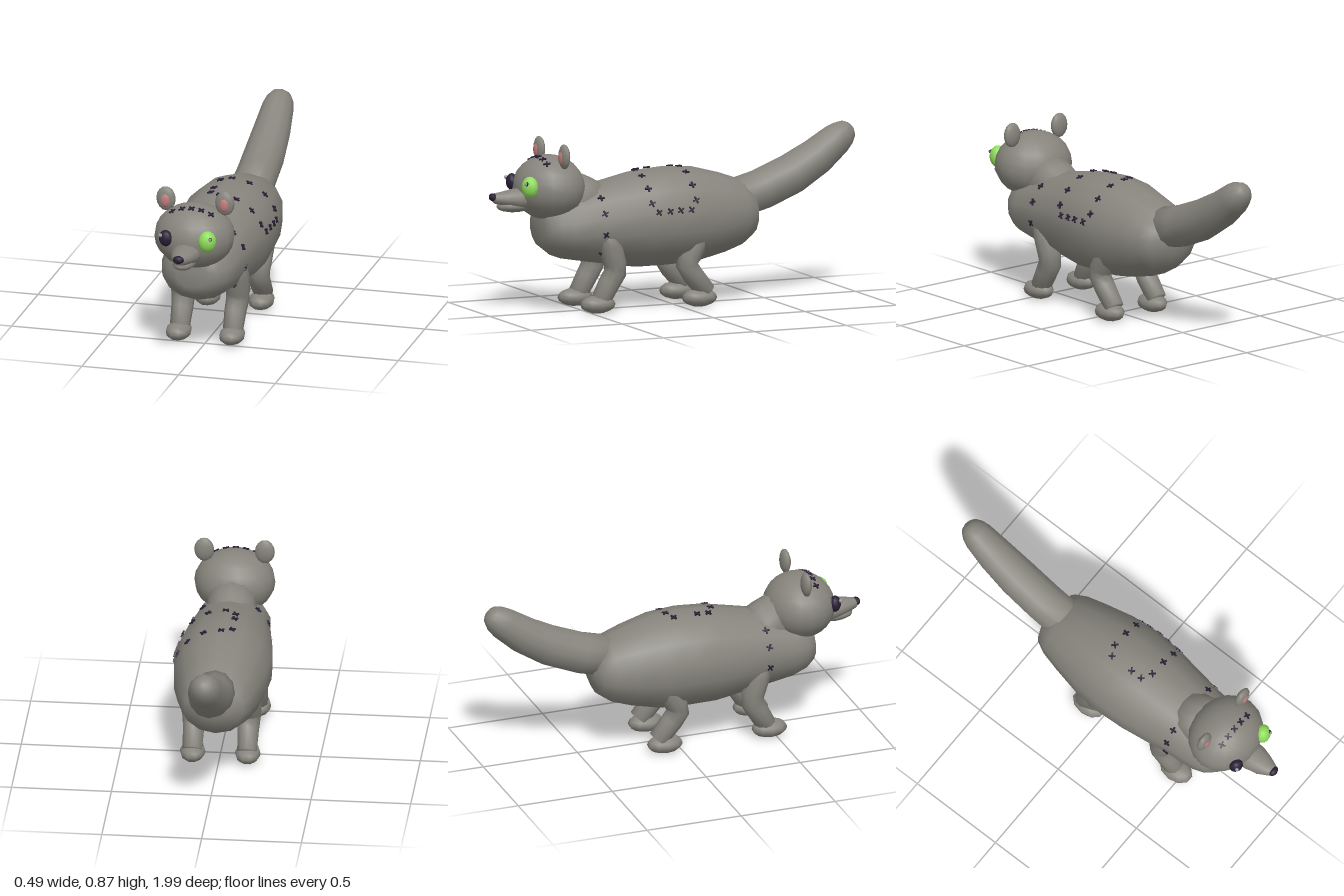
import * as THREE from 'three';

const mat = (name, color) => Object.assign(new THREE.MeshStandardMaterial({ color }), { name });

// Closed tube through sections [x, y, z, rx, ry]; rings face the path in the yz plane, or -z if straight.
function loft(sections, sides, straight = false) {
  const pos = [], idx = [], n = sections.length;
  sections.forEach(([x, y, z, rx, ry = rx], i) => {
    const p = sections[Math.max(i - 1, 0)], q = sections[Math.min(i + 1, n - 1)];
    let dy = q[1] - p[1], dz = q[2] - p[2];
    if (straight) { dy = 0; dz = -1; }
    const l = Math.hypot(dy, dz);
    for (let k = 0; k < sides; k++) {
      const a = k / sides * Math.PI * 2, s = Math.cos(a) * ry;
      pos.push(x + Math.sin(a) * rx, y - dz / l * s, z + dy / l * s);
    }
  });
  for (let i = 0; i < n - 1; i++) for (let k = 0; k < sides; k++) {
    const a = i * sides + k, b = i * sides + (k + 1) % sides;
    idx.push(a, b, a + sides, b, b + sides, a + sides);
  }
  // end caps
  const first = sections[0], last = sections[n - 1], c = n * sides;
  pos.push(...first.slice(0, 3), ...last.slice(0, 3));
  for (let k = 0; k < sides; k++) {
    const j = (k + 1) % sides, o = (n - 1) * sides;
    idx.push(c, j, k, c + 1, o + k, o + j);
  }
  const g = new THREE.BufferGeometry();
  g.setAttribute('position', new THREE.Float32BufferAttribute(pos, 3));
  g.setIndex(idx);
  g.computeVertexNormals();
  return g;
}

// Body stations: z, bottom, top, half width
const BODY = [
  [0.735, 0.37, 0.50, 0.08], [0.72, 0.33, 0.54, 0.13], [0.67, 0.29, 0.57, 0.17], [0.61, 0.268, 0.59, 0.19],
  [0.45, 0.24, 0.635, 0.205], [0.2, 0.2, 0.69, 0.24], [0.05, 0.2, 0.7, 0.25], [-0.1, 0.205, 0.69, 0.237],
  [-0.25, 0.24, 0.65, 0.205], [-0.35, 0.275, 0.615, 0.18], [-0.41, 0.32, 0.57, 0.15], [-0.44, 0.39, 0.5, 0.08],
];

function bodyAt(z) {
  let i = 0;
  while (i < BODY.length - 2 && BODY[i + 1][0] > z) i++;
  const t = (BODY[i][0] - z) / (BODY[i][0] - BODY[i + 1][0]);
  const [, lo, hi, w] = BODY[i].map((v, k) => THREE.MathUtils.lerp(v, BODY[i + 1][k], t));
  return { cy: (lo + hi) / 2, rx: w, ry: (hi - lo) / 2 };
}

export function createModel() {
  const model = new THREE.Group();
  const root = new THREE.Group();
  root.name = 'animal';
  root.position.x = -0.006;
  model.add(root);

  const fur = mat('greyFur', 0x86847c), dark = mat('darkThread', 0x2a2036);
  const green = mat('greenEye', 0x8fdc5c), pink = mat('pinkEar', 0xc07c7a), glint = mat('paleGrey', 0x9a9a9e);

  const add = (name, geo, material) => {
    const m = new THREE.Mesh(geo, material);
    m.name = name;
    root.add(m);
    return m;
  };
  const blob = (name, material, [x, y, z], [rx, ry, rz], w = 12, h = 8) => {
    const m = add(name, new THREE.SphereGeometry(1, w, h), material);
    m.position.set(x, y, z);
    m.scale.set(rx, ry, rz);
    return m;
  };

  // Torso, neck and tail
  add('body', loft(BODY.map(([z, lo, hi, w]) => [0, (lo + hi) / 2, z, w, (hi - lo) / 2]), 14, true), fur);
  add('neck', loft([[0, 0.6, 0.6, 0.125], [0, 0.555, 0.5, 0.125], [0, 0.5, 0.4, 0.12]], 12), fur);
  add('tail', loft([
    [0, 0.51, -0.34, 0.105], [0, 0.55, -0.49, 0.105], [0, 0.615, -0.65, 0.104], [0, 0.695, -0.79, 0.095],
    [0, 0.775, -0.897, 0.082], [0, 0.805, -0.935, 0.07], [0, 0.828, -0.963, 0.05], [0, 0.838, -0.975, 0.025],
  ], 12), fur);

  // Head and muzzle
  blob('head', fur, [0, 0.632, 0.675], [0.203, 0.164, 0.178], 18, 12);
  add('muzzle', loft([
    [0, 0.595, 0.985, 0.018, 0.015], [0, 0.593, 0.97, 0.034, 0.026], [0, 0.588, 0.92, 0.055, 0.038],
    [0, 0.584, 0.86, 0.073, 0.053], [0, 0.58, 0.78, 0.076, 0.06],
  ], 12, true), fur);
  blob('lowerJaw', fur, [0, 0.55, 0.86], [0.058, 0.032, 0.1]);
  blob('nose', dark, [0, 0.6, 0.98], [0.029, 0.02, 0.02], 10, 7);
  for (const x of [-0.03, 0, 0.03]) {
    const tooth = add('tooth', new THREE.ConeGeometry(0.007, 0.016, 5), glint);
    tooth.position.set(x, 0.54, 0.935 - Math.abs(x) * 0.6);
    tooth.rotation.x = Math.PI;
  }

  // Mismatched eyes
  blob('leftEye', green, [0.107, 0.654, 0.825], [0.046, 0.055, 0.04]).rotation.y = 0.4;
  blob('rightEye', dark, [-0.108, 0.655, 0.828], [0.036, 0.042, 0.03]).rotation.y = -0.4;
  blob('leftPupilRim', dark, [0.129, 0.675, 0.851], [0.01, 0.011, 0.01], 8, 6);
  blob('leftGlint', glint, [0.13, 0.675, 0.856], [0.008, 0.009, 0.009], 8, 6);
  blob('rightGlint', glint, [-0.129, 0.675, 0.85], [0.01, 0.01, 0.01], 8, 6);

  for (const s of [-1, 1]) {
    const side = s > 0 ? 'left' : 'right';
    // Ears
    blob(side + 'Ear', fur, [s * 0.152, 0.805, 0.658], [0.05, 0.063, 0.025]);
    blob(side + 'InnerEar', pink, [s * 0.152, 0.8, 0.674], [0.026, 0.036, 0.014], 10, 7);
    // Bent legs and paws
    add(side + 'FrontLeg', loft([
      [s * 0.15, 0.42, 0.43, 0.045], [s * 0.148, 0.34, 0.405, 0.06], [s * 0.143, 0.25, 0.378, 0.06],
      [s * 0.14, 0.2, 0.375, 0.058], [s * 0.137, 0.15, 0.405, 0.055], [s * 0.137, 0.06, 0.455, 0.05],
    ], 10), fur);
    add(side + 'BackLeg', loft([
      [s * 0.15, 0.42, -0.11, 0.045], [s * 0.148, 0.34, -0.07, 0.06], [s * 0.143, 0.26, -0.03, 0.06],
      [s * 0.14, 0.215, -0.018, 0.058], [s * 0.137, 0.165, -0.05, 0.055], [s * 0.137, 0.075, -0.125, 0.05],
    ], 10), fur);
    blob(side + 'FrontPaw', fur, [s * 0.138, 0.047, 0.468], [0.064, 0.046, 0.092], 10, 8);
    blob(side + 'BackPaw', fur, [s * 0.138, 0.047, -0.088], [0.064, 0.046, 0.092], 10, 8);
  }

  // Cross stitches laid flat on the surface
  const stitch = (p, normal) => {
    const g = new THREE.Group();
    g.name = 'stitch';
    for (const r of [-1, 1]) {
      const bar = new THREE.Mesh(new THREE.BoxGeometry(0.036, 0.008, 0.008), dark);
      bar.name = 'thread';
      bar.rotation.z = r * Math.PI / 4;
      g.add(bar);
    }
    g.position.copy(p);
    g.quaternion.setFromUnitVectors(new THREE.Vector3(0, 0, 1), normal.normalize());
    root.add(g);
  };
  const bodyStitch = (z, angle) => {
    const { cy, rx, ry } = bodyAt(z), s = Math.sin(angle), c = Math.cos(angle);
    stitch(new THREE.Vector3(rx * s, cy + ry * c, z), new THREE.Vector3(s / rx, c / ry, 0));
  };

  // Seam around the neck
  for (const a of [0.28, 0.75, 1.2, 1.75, 2.3]) for (const s of [-1, 1]) bodyStitch(0.45, s * a);
  // Patch on the back and left flank
  for (const a of [0, 0.38, 0.78, 1.13]) for (const z of [-0.035, 0.205]) bodyStitch(z, a);
  for (const z of [0.175, 0.115, 0.06, 0]) bodyStitch(z, 1.33);
  for (const z of [0.175, 0.115, -0.01]) bodyStitch(z, -0.22);
  // Seam over the head
  for (const x of [-0.1, -0.05, 0, 0.05, 0.1]) {
    const y = 0.164 * Math.sqrt(1 - (x / 0.203) ** 2 - (0.055 / 0.178) ** 2);
    stitch(new THREE.Vector3(x, 0.632 + y, 0.73), new THREE.Vector3(x / 0.0412, y / 0.0269, 0.055 / 0.0317));
  }
  return model;
}
